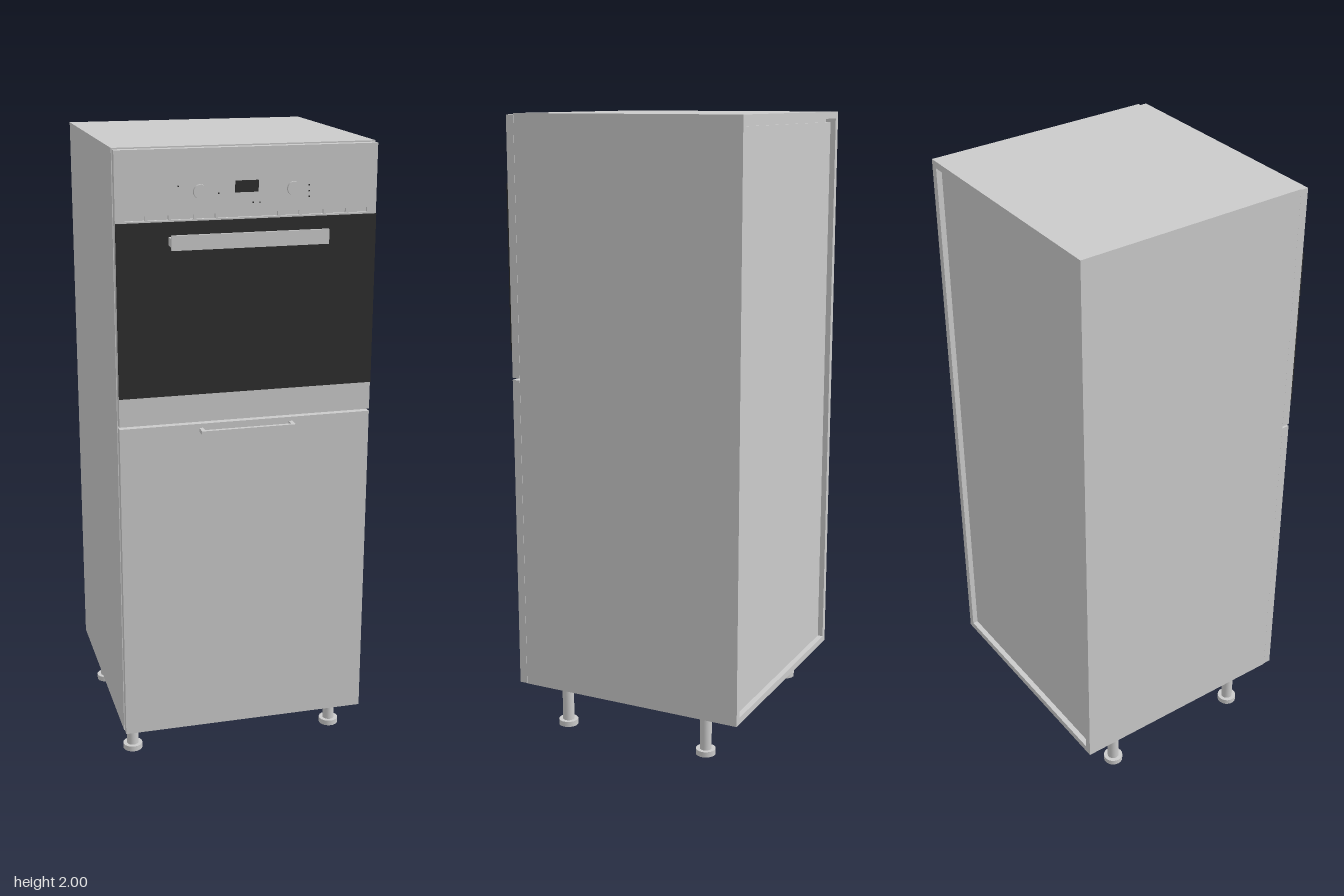
import * as THREE from 'three';

export function createModel() {
  const model = new THREE.Group();
  const grey = new THREE.MeshStandardMaterial({ color: 0xcbcbcb });
  grey.name = 'light grey';
  const black = new THREE.MeshStandardMaterial({ color: 0x2d2d2d });
  black.name = 'black glass';

  const add = (name, geometry, material, x = 0, y = 0, z = 0, parent = model) => {
    const mesh = new THREE.Mesh(geometry, material);
    mesh.name = name;
    mesh.position.set(x, y, z);
    parent.add(mesh);
    return mesh;
  };
  // Box given by its minimum and maximum on each axis
  const box = (name, [x0, x1], [y0, y1], [z0, z1], material = grey, parent = model) =>
    add(name, new THREE.BoxGeometry(x1 - x0, y1 - y0, z1 - z0), material,
      (x0 + x1) / 2, (y0 + y1) / 2, (z0 + z1) / 2, parent);
  const group = (name) => {
    const g = new THREE.Group();
    g.name = name;
    model.add(g);
    return g;
  };

  // Carcass: side, top and bottom boards around an inset back panel
  const W = 0.398, T = 0.022, BOTTOM = 0.14, BACK = -0.417, FACE = 0.343;
  const carcass = group('carcass');
  for (const s of [-1, 1]) {
    const xs = [s * W, s * (W - T)].sort((a, b) => a - b);
    box('sideBoard', xs, [BOTTOM, 2], [BACK, FACE], grey, carcass);
  }
  const inner = [-W + T, W - T];
  box('topBoard', inner, [2 - T, 2], [BACK, FACE], grey, carcass);
  box('bottomBoard', inner, [BOTTOM, BOTTOM + T], [BACK, FACE], grey, carcass);
  box('backPanel', inner, [BOTTOM + T, 1.966], [BACK + 0.018, BACK + 0.026], grey, carcass);
  box('backRail', inner, [1.88, 2 - T], [BACK + 0.034, BACK + 0.05], grey, carcass);
  box('ovenShelf', inner, [1.15, 1.18], [BACK + 0.03, FACE], grey, carcass);

  // Lower door and its bar handle
  const F = 0.371, FX = 0.396, CX = -0.002;
  box('door', [-FX, FX], [BOTTOM, 1.17], [FACE + 0.002, F]);
  const doorHandle = group('doorHandle');
  box('handleBar', [CX - 0.148, CX + 0.148], [1.145, 1.157], [0.396, 0.408], grey, doorHandle);
  for (const x of [-0.142, 0.142])
    box('handlePost', [CX + x - 0.006, CX + x + 0.006], [1.145, 1.157], [F, 0.396], grey, doorHandle);

  // Oven front with a shallow vent slot under the control panel
  const oven = group('ovenFront');
  box('ovenFrame', [-FX, FX], [1.177, 1.793], [FACE + 0.002, F], grey, oven);
  box('controlPanel', [-FX, FX], [1.807, 1.996], [FACE + 0.002, F], grey, oven);
  box('ventBack', [-FX, FX], [1.793, 1.807], [FACE + 0.002, F - 0.01], grey, oven);
  for (const s of [-1, 1]) {
    const xs = [s * 0.368, s * FX].sort((a, b) => a - b);
    box('ventEnd', xs, [1.793, 1.807], [F - 0.01, F], grey, oven);
    for (const x of [0.095, 0.16, 0.235, 0.305])
      box('ventDivider', [s * x - 0.004, s * x + 0.004], [1.793, 1.807], [F - 0.01, F - 0.001], grey, oven);
  }
  box('ovenGlass', [-FX, FX], [1.265, 1.788], [F, F + 0.004], black, oven);

  // Oven handle: broad face plate on two blocks
  const ovenHandle = group('ovenHandle');
  box('handlePlate', [CX - 0.238, CX + 0.238], [1.711, 1.755], [0.407, 0.415], grey, ovenHandle);
  for (const x of [-0.208, 0.208])
    box('handleBlock', [CX + x - 0.03, CX + x + 0.03], [1.72, 1.745], [F, 0.407], grey, ovenHandle);

  // Display, knobs and tiny markers on the control panel
  box('display', [-0.04, 0.03], [1.866, 1.9], [F, F + 0.003], black, oven);
  for (const x of [-0.145, 0.138]) {
    const knob = add('knob', new THREE.CylinderGeometry(0.021, 0.021, 0.01, 24), grey, x, 1.872, F + 0.005, oven);
    knob.rotation.x = Math.PI / 2;
  }
  const marks = [[-0.21, 1.89], [-0.09, 1.865], [0.015, 1.835], [0.035, 1.835],
    [0.185, 1.88], [0.185, 1.863], [0.185, 1.846]];
  for (const [x, y] of marks)
    box('marker', [x - 0.002, x + 0.002], [y - 0.002, y + 0.002], [F, F + 0.001], black, oven);

  // Four levelling feet: slim stem on a wider pad
  for (const x of [-0.347, 0.343]) for (const z of [-0.287, 0.218]) {
    const foot = group('foot');
    foot.position.set(x, 0, z);
    add('footStem', new THREE.CylinderGeometry(0.019, 0.019, 0.122, 24), grey, 0, 0.079, 0, foot);
    add('footPad', new THREE.CylinderGeometry(0.032, 0.032, 0.018, 24), grey, 0, 0.009, 0, foot);
  }
  return model;
}
